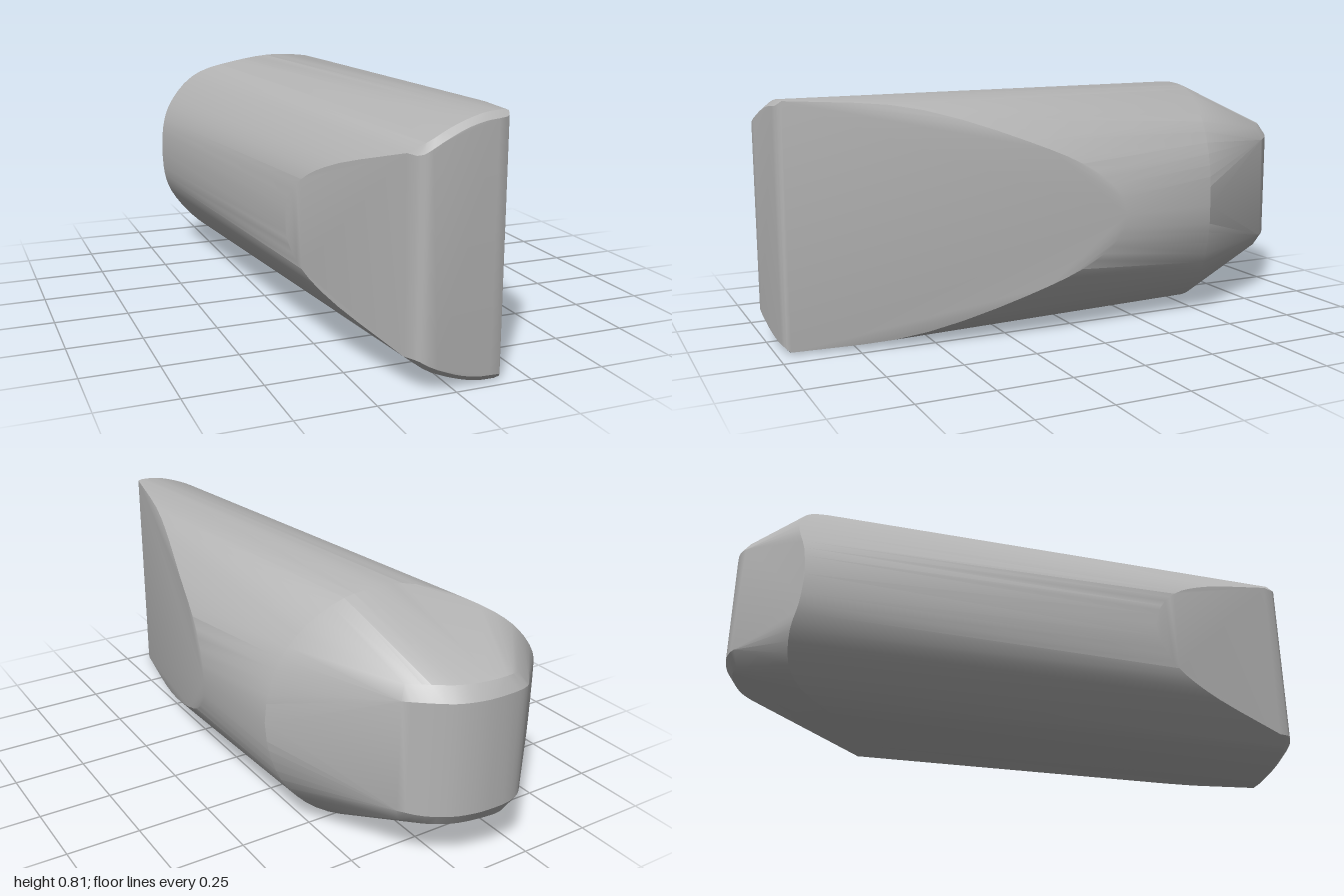
import * as THREE from 'three';
import { ConvexGeometry } from 'three/addons/geometries/ConvexGeometry.js';
import { toCreasedNormals } from 'three/addons/utils/BufferGeometryUtils.js';

const MID = 0.405; // height of the mirror plane

// Samples a smooth curve through [x, height above MID, z] points
function curve(points, count) {
  const path = new THREE.CatmullRomCurve3(points.map((p) => new THREE.Vector3(...p)), false, 'centripetal');
  return path.getPoints(count);
}

const corners = (points) => points.map((p) => new THREE.Vector3(...p));

export function createModel() {
  const grey = new THREE.MeshStandardMaterial({ color: 0xb4b4b4 });
  grey.name = 'grey';

  // Rim where the round body meets the tapered tail
  const rim = curve([
    [-0.435, 0, -0.77], [-0.425, 0.1, -0.78], [-0.395, 0.18, -0.8], [-0.33, 0.27, -0.795],
    [-0.27, 0.325, -0.75], [-0.17, 0.375, -0.63], [-0.05, 0.404, -0.56], [0.05, 0.404, -0.55],
    [0.15, 0.388, -0.535], [0.27, 0.315, -0.51], [0.35, 0.215, -0.49], [0.39, 0.1, -0.48], [0.4, 0, -0.475],
  ], 36);

  // Edge of the flat facet on the +x side
  const rightFacet = curve([
    [0.165, 0.4, 0.955], [0.25, 0.372, 0.57], [0.352, 0.25, 0.19],
    [0.4, 0.155, -0.01], [0.424, 0.07, -0.1], [0.43, 0, -0.12],
  ], 18);

  // Edge of the flat facet on the -x side
  const leftFacet = curve([
    [-0.325, 0, 0.43], [-0.318, 0.07, 0.45], [-0.295, 0.145, 0.515], [-0.25, 0.21, 0.64], [-0.143, 0.297, 0.94],
  ], 14);

  // Blunt nose: arched outer edge, then a slightly inset front plate
  const nose = [
    ...curve([[-0.143, 0.297, 0.94], [-0.09, 0.334, 0.975], [-0.03, 0.363, 0.97],
      [0.03, 0.385, 0.965], [0.09, 0.4, 0.96], [0.15, 0.404, 0.955]], 12),
    ...curve([[-0.13, 0.295, 0.975], [-0.115, 0.3, 0.99], [-0.09, 0.315, 0.998], [-0.03, 0.345, 0.992],
      [0.03, 0.367, 0.986], [0.09, 0.38, 0.98], [0.15, 0.385, 0.973], [0.16, 0.39, 0.968]], 14),
  ];

  // Rounded tail: upright wall and the softened shoulder above it
  const tail = [
    ...curve([[-0.25, 0.18, -0.94], [-0.21, 0.187, -0.98], [-0.16, 0.19, -0.997], [-0.08, 0.19, -1],
      [-0.02, 0.19, -0.993], [0.05, 0.19, -0.97], [0.12, 0.19, -0.92], [0.17, 0.185, -0.865]], 18),
    ...curve([[-0.235, 0.215, -0.925], [-0.16, 0.235, -0.97], [-0.08, 0.235, -0.972],
      [0.02, 0.235, -0.95], [0.1, 0.235, -0.9], [0.15, 0.23, -0.85]], 14),
    ...corners([[-0.2, 0.24, -0.925], [-0.08, 0.252, -0.94], [0.01, 0.248, -0.92], [0.09, 0.245, -0.87]]),
  ];

  // Mirror the upper half downwards and wrap everything in one hull
  const upper = [...rim, ...rightFacet, ...leftFacet, ...nose, ...tail];
  const hull = upper.flatMap((p) => [
    new THREE.Vector3(p.x, MID + p.y, p.z),
    new THREE.Vector3(p.x, MID - p.y, p.z),
  ]);
  const body = new THREE.Mesh(toCreasedNormals(new ConvexGeometry(hull), 0.42), grey);
  body.name = 'body';

  const model = new THREE.Group();
  model.name = 'taperedBlock';
  model.add(body);
  return model;
}
